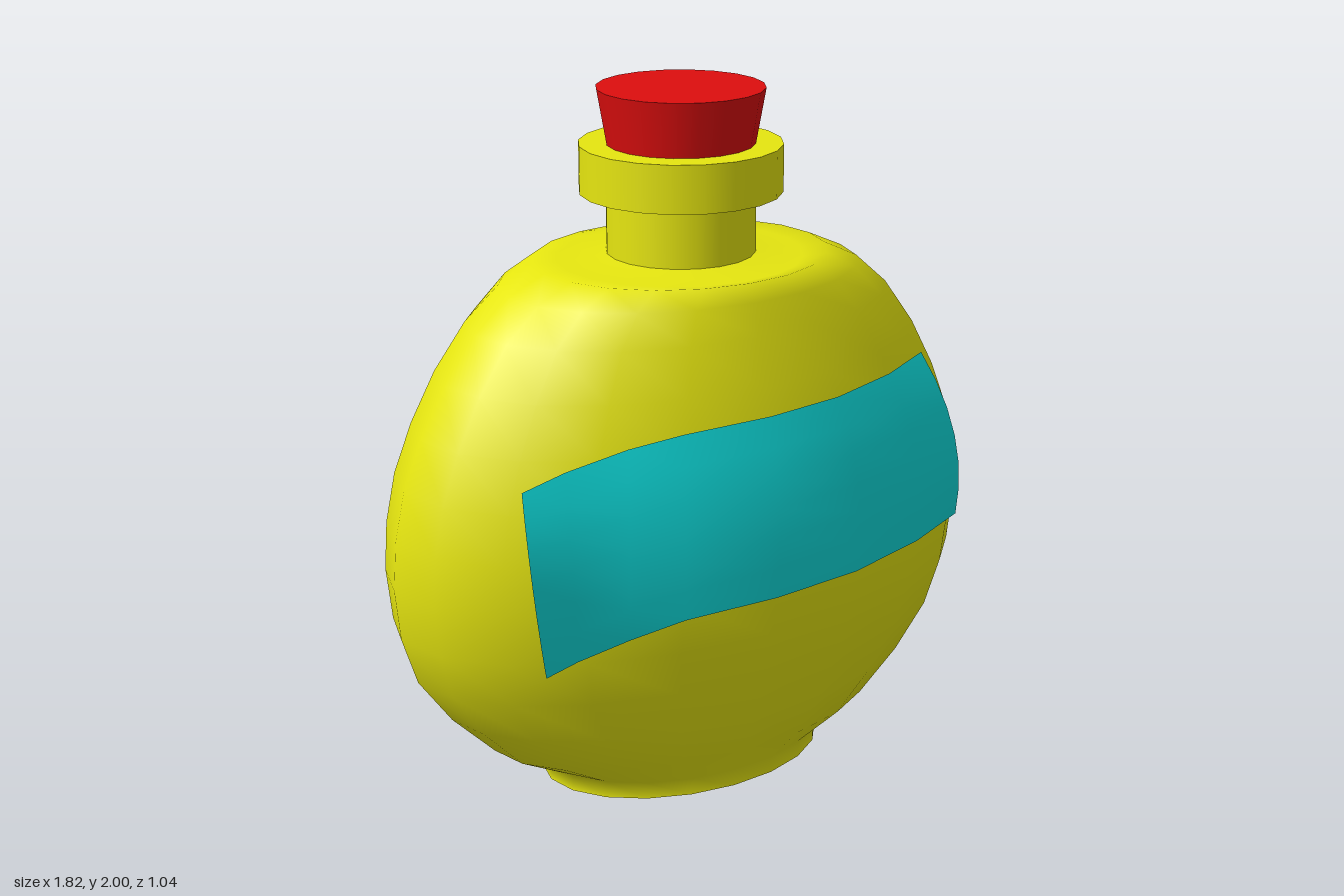
import * as THREE from 'three';

const SIDES = 20;
const material = (color, side = THREE.FrontSide) =>
  new THREE.MeshStandardMaterial({ color, side });

// Surface through a rows x cols grid of points; optionally closed around each row
function gridGeometry(rows, closed) {
  const cols = rows[0].length, pos = rows.flat(2), index = [];
  for (let r = 0; r < rows.length - 1; r++) {
    for (let c = 0; c < (closed ? cols : cols - 1); c++) {
      const a = r * cols + c, b = r * cols + (c + 1) % cols;
      index.push(a, b, a + cols, b, b + cols, a + cols);
    }
  }
  const g = new THREE.BufferGeometry();
  g.setAttribute('position', new THREE.Float32BufferAttribute(pos, 3));
  g.setIndex(index);
  g.computeVertexNormals();
  return g;
}

// Elliptical ring of points at height y
function ring(y, rx, rz) {
  return Array.from({ length: SIDES }, (_, i) => {
    const t = (i / SIDES) * Math.PI * 2;
    return [rx * Math.sin(t), y, rz * Math.cos(t)];
  });
}

export function createModel() {
  const group = new THREE.Group();
  const glass = material(0xe6e610), cork = material(0xdd0e0e);
  const add = (name, geometry, mat, y = 0) => {
    const mesh = new THREE.Mesh(geometry, mat);
    mesh.name = name;
    mesh.position.y = y;
    group.add(mesh);
    return mesh;
  };

  // Flattened flask body: height, half width, half depth
  const profile = [
    [0, 0.44, 0.305], [0.05, 0.44, 0.305], [0.14, 0.62, 0.365], [0.27, 0.75, 0.415],
    [0.41, 0.85, 0.46], [0.55, 0.895, 0.495], [0.7, 0.91, 0.515], [0.84, 0.9, 0.515],
    [0.98, 0.87, 0.505], [1.12, 0.815, 0.48], [1.26, 0.74, 0.45], [1.39, 0.645, 0.41],
    [1.48, 0.54, 0.385], [1.53, 0.43, 0.365], [1.525, 0.35, 0.33], [1.54, 0.2, 0.2],
  ];
  add('body', gridGeometry(profile.map((p) => ring(...p)), true), glass);

  // Flat underside
  const base = new THREE.CircleGeometry(1, SIDES).rotateX(Math.PI / 2).scale(0.44, 1, 0.305);
  add('base', base, glass);

  // Neck, lip and stopper
  add('neck', new THREE.CylinderGeometry(0.21, 0.21, 0.2, SIDES), glass, 1.62);
  add('lip', new THREE.CylinderGeometry(0.285, 0.285, 0.135, SIDES), glass, 1.7775);
  add('stopper', new THREE.CylinderGeometry(0.235, 0.205, 0.17, SIDES), cork, 1.915);

  // Wrap-around label: bottom, middle and top points of each column, left to right
  const columns = [
    [[-0.675, 0.56, 0.44], [-0.725, 0.84, 0.47], [-0.72, 1.085, 0.41]],
    [[-0.58, 0.585, 0.44], [-0.6, 0.86, 0.457], [-0.59, 1.115, 0.405]],
    [[-0.43, 0.62, 0.457], [-0.43, 0.89, 0.464], [-0.41, 1.15, 0.42]],
    [[-0.28, 0.66, 0.497], [-0.28, 0.92, 0.5], [-0.26, 1.175, 0.455]],
    [[0, 0.675, 0.523], [0, 0.935, 0.522], [0, 1.187, 0.477]],
    [[0.28, 0.683, 0.495], [0.275, 0.945, 0.497], [0.23, 1.197, 0.457]],
    [[0.54, 0.695, 0.422], [0.52, 0.955, 0.432], [0.45, 1.207, 0.387]],
    [[0.75, 0.705, 0.325], [0.715, 0.965, 0.352], [0.63, 1.215, 0.29]],
  ];
  const STEPS = 6, rows = [];
  for (let i = 0; i <= STEPS; i++) {
    const v = i / STEPS;
    // Parabola through the three points of each column
    const w = [(1 - v) * (1 - 2 * v), 4 * v * (1 - v), v * (2 * v - 1)];
    rows.push(columns.map((c) => [0, 1, 2].map((k) =>
      w[0] * c[0][k] + w[1] * c[1][k] + w[2] * c[2][k])));
  }
  add('label', gridGeometry(rows, false), material(0x0fdddd, THREE.DoubleSide));

  return group;
}
